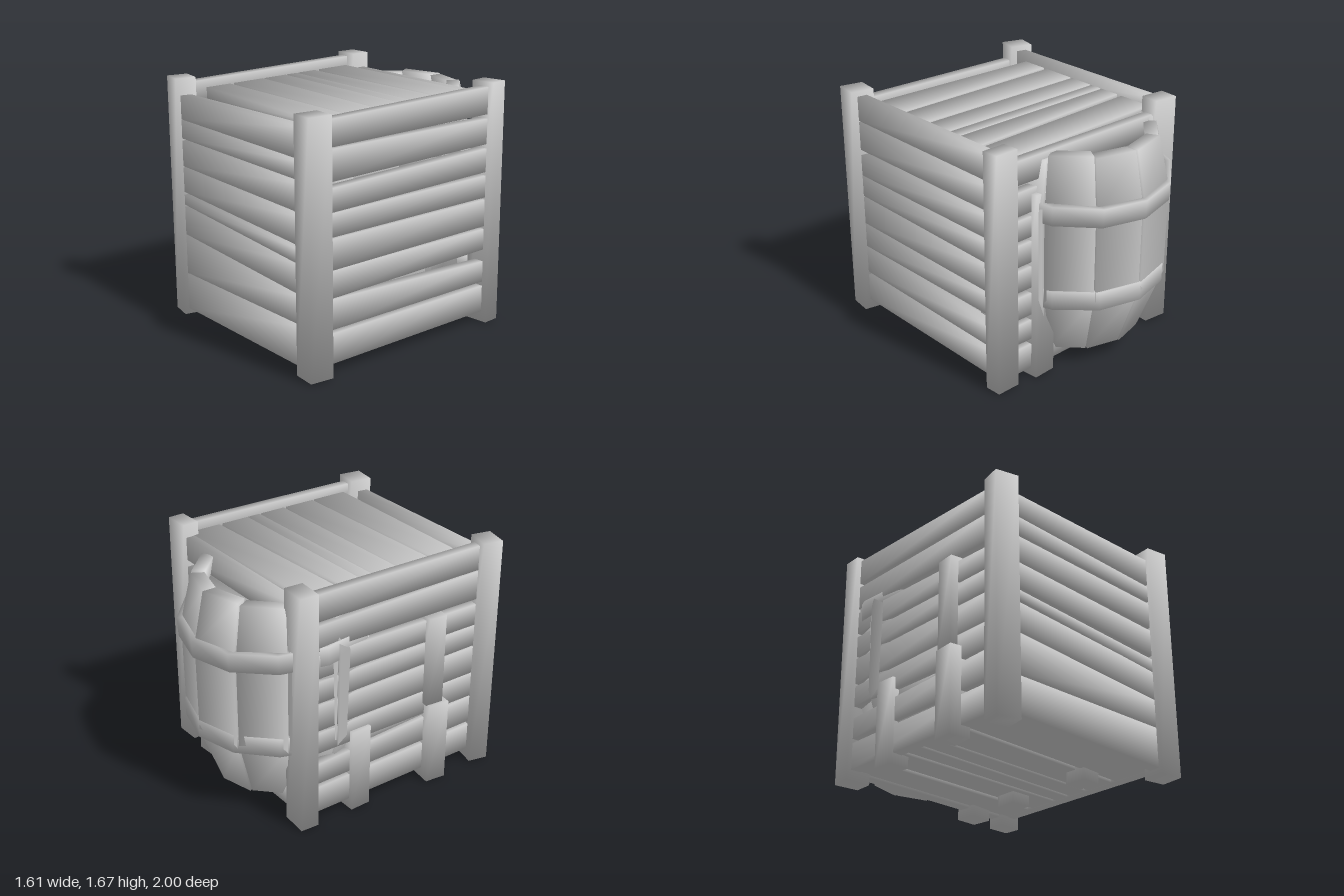
import * as THREE from 'three';
import { mergeVertices } from 'three/addons/utils/BufferGeometryUtils.js';

const material = new THREE.MeshStandardMaterial({ color: 0xcccccc });

// Unit box with shared corners; place(u, v, w) maps each corner (-0.5..0.5).
// Every corner normal points evenly away from its neighbours, so the wood looks rounded.
function softBox(name, place, ySegments = 1) {
  let g = new THREE.BoxGeometry(1, 1, 1, 1, ySegments, 1);
  g.deleteAttribute('normal');
  g.deleteAttribute('uv');
  g = mergeVertices(g);
  const p = g.attributes.position, normals = [];
  for (let i = 0; i < p.count; i++) {
    const [u, v, w] = [p.getX(i), p.getY(i), p.getZ(i)];
    const here = new THREE.Vector3(...place(u, v, w));
    const away = (...corner) => here.clone().sub(new THREE.Vector3(...place(...corner))).normalize();
    const n = away(-u, v, w).add(away(u, v, -w));
    if (Math.abs(v) > 0.49) n.add(away(u, -v, w));
    normals.push(...n.normalize().toArray());
    p.setXYZ(i, here.x, here.y, here.z);
  }
  g.setAttribute('normal', new THREE.Float32BufferAttribute(normals, 3));
  const mesh = new THREE.Mesh(g, material);
  mesh.name = name;
  return mesh;
}

// Upright post, turned a little about its own axis
function post(name, x, z, width, depth, y0, y1, turn = 0) {
  const c = Math.cos(turn), s = Math.sin(turn);
  return softBox(name, (u, v, w) => {
    const a = u * width, b = w * depth;
    return [x + a * c + b * s, y0 + (v + 0.5) * (y1 - y0) + u * 0.006, z - a * s + b * c];
  });
}

// Tapered slat: [lo, hi] edges at its start and at its end
const edge = ([a0, a1, b0, b1], t, k) => THREE.MathUtils.lerp(
  THREE.MathUtils.lerp(a0, b0, t), THREE.MathUtils.lerp(a1, b1, t), k);
const slatX = (name, x0, x1, z, thick, e) => softBox(name, (u, v, w) =>
  [x0 + (u + 0.5) * (x1 - x0), edge(e, u + 0.5, v + 0.5), z + w * thick]);
const slatZ = (name, z0, z1, x, thick, e) => softBox(name, (u, v, w) =>
  [x + u * thick, edge(e, w + 0.5, v + 0.5), z0 + (w + 0.5) * (z1 - z0)]);
const slatFlat = (name, x0, x1, y, thick, e) => softBox(name, (u, v, w) =>
  [x0 + (u + 0.5) * (x1 - x0), y + v * thick, edge(e, u + 0.5, w + 0.5)]);

function largeCrate() {
  const g = new THREE.Group();
  g.name = 'largeCrate';
  g.add(
    post('frontLeftPost', 0.71, 0.91, 0.165, 0.16, 0.005, 1.66, -0.12),
    post('frontRightPost', -0.71, 0.89, 0.165, 0.14, 0.005, 1.66, -0.22),
    post('backLeftPost', 0.71, -0.55, 0.175, 0.115, 0.005, 1.665, 0.06),
    post('backRightPost', -0.665, -0.56, 0.18, 0.13, 0.005, 1.66, -0.05));

  // Front slats, from model right to model left
  const front = [
    [1.39, 1.55, 1.38, 1.575], [1.26, 1.385, 1.25, 1.365], [1.07, 1.245, 1.05, 1.235],
    [0.89, 1.06, 0.84, 1.03], [0.80, 0.87, 0.72, 0.815], [0.59, 0.785, 0.525, 0.725],
    [0.31, 0.58, 0.33, 0.52], [0.05, 0.30, 0.05, 0.325]];
  front.forEach(e => g.add(slatX('frontSlat', -0.635, 0.64, 0.912, 0.075, e)));

  // Back slats
  const back = [
    [1.40, 1.56, 1.41, 1.57], [1.22, 1.37, 1.20, 1.36], [1.04, 1.18, 1.03, 1.17],
    [0.86, 1.0, 0.85, 1.0], [0.66, 0.82, 0.67, 0.82], [0.48, 0.62, 0.47, 0.63],
    [0.28, 0.44, 0.29, 0.43], [0.07, 0.25, 0.07, 0.25]];
  back.forEach(e => g.add(slatX('backSlat', -0.6, 0.64, -0.55, 0.07, e)));

  // Side slats, from back to front
  const side = [
    [1.455, 1.635, 1.455, 1.625], [1.255, 1.425, 1.245, 1.445], [1.065, 1.225, 1.055, 1.205],
    [0.89, 1.04, 0.90, 1.05], [0.69, 0.875, 0.69, 0.89], [0.525, 0.67, 0.51, 0.69],
    [0.295, 0.44, 0.305, 0.505], [0.08, 0.265, 0.08, 0.28]];
  side.forEach(e => g.add(
    slatZ('leftSlat', -0.5, 0.835, 0.725, 0.07, e),
    slatZ('rightSlat', -0.5, 0.835, -0.69, 0.07, e)));

  // Top slats
  const top = [
    [-0.48, -0.23, -0.52, -0.28], [-0.19, -0.045, -0.255, -0.05], [-0.03, 0.055, -0.045, 0.05],
    [0.07, 0.25, 0.06, 0.255], [0.265, 0.51, 0.275, 0.505], [0.54, 0.73, 0.52, 0.785]];
  top.forEach(e => g.add(slatFlat('topSlat', -0.665, 0.69, 1.535, 0.075, e)));

  // Floor slats
  const floor = [
    [-0.51, -0.3, -0.5, -0.29], [-0.25, -0.06, -0.24, -0.04], [-0.02, 0.1, -0.01, 0.09],
    [0.13, 0.25, 0.12, 0.255], [0.28, 0.5, 0.285, 0.49], [0.54, 0.87, 0.53, 0.87]];
  floor.forEach(e => g.add(slatFlat('floorSlat', -0.66, 0.69, 0.12, 0.07, e)));
  return g;
}

// Small crates stacked inside; corners are [x, z], front ones poke through the right side
function smallCrate(name, y0, y1, corners, w) {
  const g = new THREE.Group();
  g.name = name;
  for (const [x, z] of corners) g.add(post('smallPost', x, z, w, w, y0, y1, x * z * 0.3));
  const [[xa, za], [xb], , [, zb]] = corners;
  for (let i = 0; i < 3; i++) {
    const lo = y0 + 0.1 + i * 0.17, e = [lo, lo + 0.1, lo + 0.015, lo + 0.11];
    for (const z of [za, zb]) g.add(slatX('smallLongSlat', xa, xb, z, 0.04, e));
    for (const x of [xa, xb]) g.add(slatZ('smallEndSlat', za, zb, x, 0.04, e));
  }
  for (let i = 0; i < 4; i++) {
    const z = za + 0.04 + i * 0.14;
    g.add(slatFlat('smallTopSlat', xa, xb, y1 - 0.05, 0.04, [z, z + 0.1, z + 0.01, z + 0.11]));
  }
  return g;
}

function barrel() {
  const g = new THREE.Group();
  g.name = 'barrel';
  const cx = -0.1, cz = -0.33;
  const polar = (a, r, y) => [cx + Math.sin(a) * r, y, cz - Math.cos(a) * r];

  // Bulging staves: four rows of height and outer radius
  const heights = [0.13, 0.58, 1.2, 1.54], radii = [0.465, 0.635, 0.64, 0.565];
  const count = 12, step = Math.PI * 2 / count;
  for (let i = 0; i < count; i++) {
    const lift = 0.015 * Math.sin(i * 2.3), push = 0.01 * Math.sin(i * 4.1);
    g.add(softBox('stave', (u, v, w) => {
      const row = Math.round((v + 0.5) * 3);
      const r = radii[row] + push - (w < 0 ? 0.09 : 0);
      return polar((i + 0.5 - u * 0.97) * step, r, heights[row] + (row === 3 ? lift : 0));
    }, 3));
  }

  // Faceted hoops, the upper one leaning back
  for (const [y, r, lean] of [[1.22, 0.67, -0.07], [0.595, 0.645, -0.02]]) {
    const profile = [[r - 0.07, -0.065], [r, -0.065], [r, 0.065], [r - 0.07, 0.065], [r - 0.07, -0.065]];
    const geo = new THREE.LatheGeometry(profile.map(p => new THREE.Vector2(...p)), 13, Math.PI);
    const hoop = new THREE.Mesh(geo, material);
    hoop.position.set(cx, y, cz);
    hoop.rotation.x = lean;
    hoop.scale.x = 0.97;
    hoop.name = 'hoop';
    g.add(hoop);
  }

  // Planked ends, set in from the rims
  for (const [y, r] of [[1.38, 0.5], [0.25, 0.43]]) {
    for (let i = 0; i < 4; i++) {
      const z0 = -r + i * r / 2, z1 = z0 + r / 2 - 0.01;
      const half = z => Math.sqrt(Math.max(r * r - z * z, 0.03));
      g.add(softBox('endPlank', (u, v, w) => {
        const z = w < 0 ? z0 : z1;
        return [cx + 2 * u * half(z), y + v * 0.05, cz + z];
      }));
    }
  }
  return g;
}

export function createModel() {
  const model = new THREE.Group();
  model.name = 'crateAndBarrel';
  model.add(
    largeCrate(),
    smallCrate('lowerSmallCrate', 0.005, 0.6,
      [[-0.675, -0.15], [0.41, -0.15], [0.41, 0.485], [-0.725, 0.475]], 0.15),
    smallCrate('upperSmallCrate', 0.6, 1.24,
      [[-0.63, -0.13], [0.4, -0.13], [0.4, 0.46], [-0.71, 0.45]], 0.13),
    post('loosePost', 0.41, -0.55, 0.17, 0.14, 0.005, 1.32, 0.1),
    barrel());
  return model;
}
